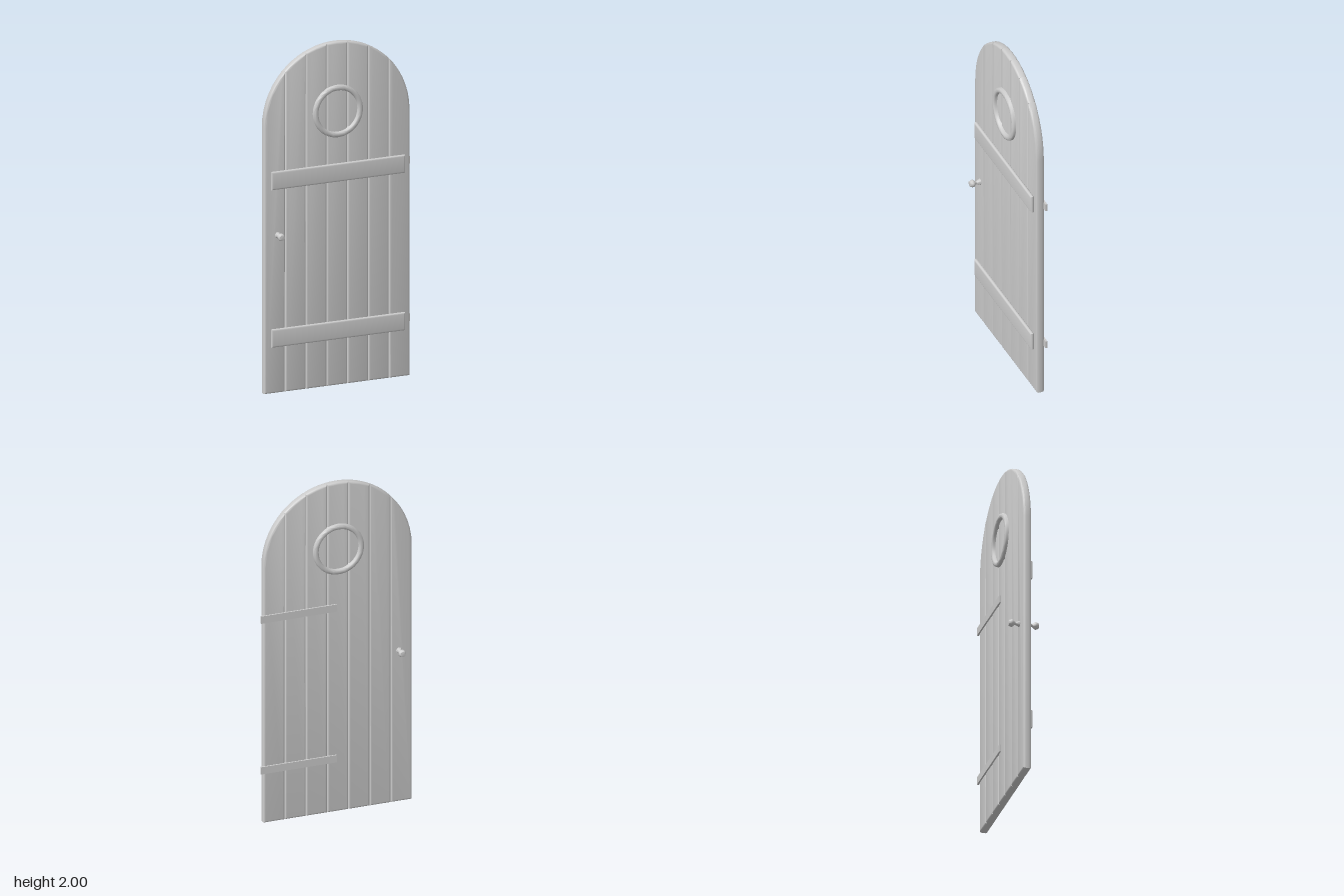
import * as THREE from 'three';
import { toCreasedNormals } from 'three/addons/utils/BufferGeometryUtils.js';

const material = new THREE.MeshStandardMaterial({ color: 0xcccccc });

function add(group, name, geometry, crease = 0.6) {
  const mesh = new THREE.Mesh(toCreasedNormals(geometry, crease), material);
  mesh.name = name;
  group.add(mesh);
  return mesh;
}

// Extrudes an outline between z0 and z1 with rounded edges kept inside the outline
function slab(points, z0, z1, bevel, depthBevel) {
  const geometry = new THREE.ExtrudeGeometry(new THREE.Shape(points), {
    depth: z1 - z0 - 2 * depthBevel,
    bevelEnabled: true,
    bevelSize: bevel,
    bevelOffset: -bevel,
    bevelThickness: depthBevel,
    bevelSegments: 3,
  });
  return geometry.translate(0, 0, z0 + depthBevel);
}

function rectangle(x0, x1, y0, y1) {
  return [[x0, y0], [x1, y0], [x1, y1], [x0, y1]].map(([x, y]) => new THREE.Vector2(x, y));
}

export function createModel() {
  const door = new THREE.Group();
  door.name = 'archedDoor';

  const centerX = -0.01;
  const radius = 0.4475;
  const springY = 2 - radius;
  const plankCount = 7;
  const halfThickness = 0.0235;

  // Planks, each cut to its own part of the round arch
  const planks = new THREE.Group();
  planks.name = 'planks';
  door.add(planks);
  const plankWidth = (2 * radius) / plankCount;
  for (let i = 0; i < plankCount; i++) {
    const left = -radius + i * plankWidth;
    const right = left + plankWidth;
    const a0 = Math.acos(Math.min(1, right / radius));
    const a1 = Math.acos(Math.max(-1, left / radius));
    const points = [new THREE.Vector2(centerX + left, 0), new THREE.Vector2(centerX + right, 0)];
    const steps = i === 0 || i === plankCount - 1 ? 7 : 4;
    for (let s = 0; s <= steps; s++) {
      const a = a0 + ((a1 - a0) * s) / steps;
      points.push(new THREE.Vector2(centerX + radius * Math.cos(a), springY + radius * Math.sin(a)));
    }
    add(planks, 'plank', slab(points, -halfThickness, halfThickness, 0.012, 0.012));
  }

  // Round window frame, showing on both faces
  const frameProfile = [
    [0.122, -0.036], [0.126, -0.042], [0.132, -0.044], [0.142, -0.044], [0.149, -0.041], [0.152, -0.034],
    [0.152, 0.034], [0.149, 0.041], [0.142, 0.044], [0.132, 0.044], [0.126, 0.042], [0.122, 0.036],
    [0.122, -0.036],
  ].map(([r, h]) => new THREE.Vector2(r, h));
  const frame = add(door, 'windowFrame', new THREE.LatheGeometry(frameProfile, 48), 0.9);
  frame.rotation.x = Math.PI / 2;
  frame.position.set(centerX, 1.6, 0);

  // Cross battens on the front, hinge straps on the back
  for (const y of [0.325, 1.243]) {
    add(door, 'frontBatten', slab(rectangle(-0.422, 0.4, y - 0.053, y + 0.053), 0.021, 0.043, 0.011, 0.009));
    const strap = add(door, 'hingeStrap', new THREE.BoxGeometry(0.4575, 0.044, 0.012));
    strap.position.set(0.22875, y, -0.0265);
  }

  // Matching knobs on both faces
  const knobProfile = [
    [0.018, 0.018], [0.018, 0.025], [0.009, 0.046], [0.01, 0.052], [0.021, 0.064],
    [0.022, 0.072], [0.016, 0.0865], [0.012, 0.0875], [0, 0.0875],
  ].map(([r, h]) => new THREE.Vector2(r, h));
  for (const side of [1, -1]) {
    const knob = add(door, side > 0 ? 'frontKnob' : 'backKnob', new THREE.LatheGeometry(knobProfile, 12), 0.7);
    knob.rotation.x = (side * Math.PI) / 2;
    knob.position.set(-0.377, 0.92, 0);
  }

  return door;
}
